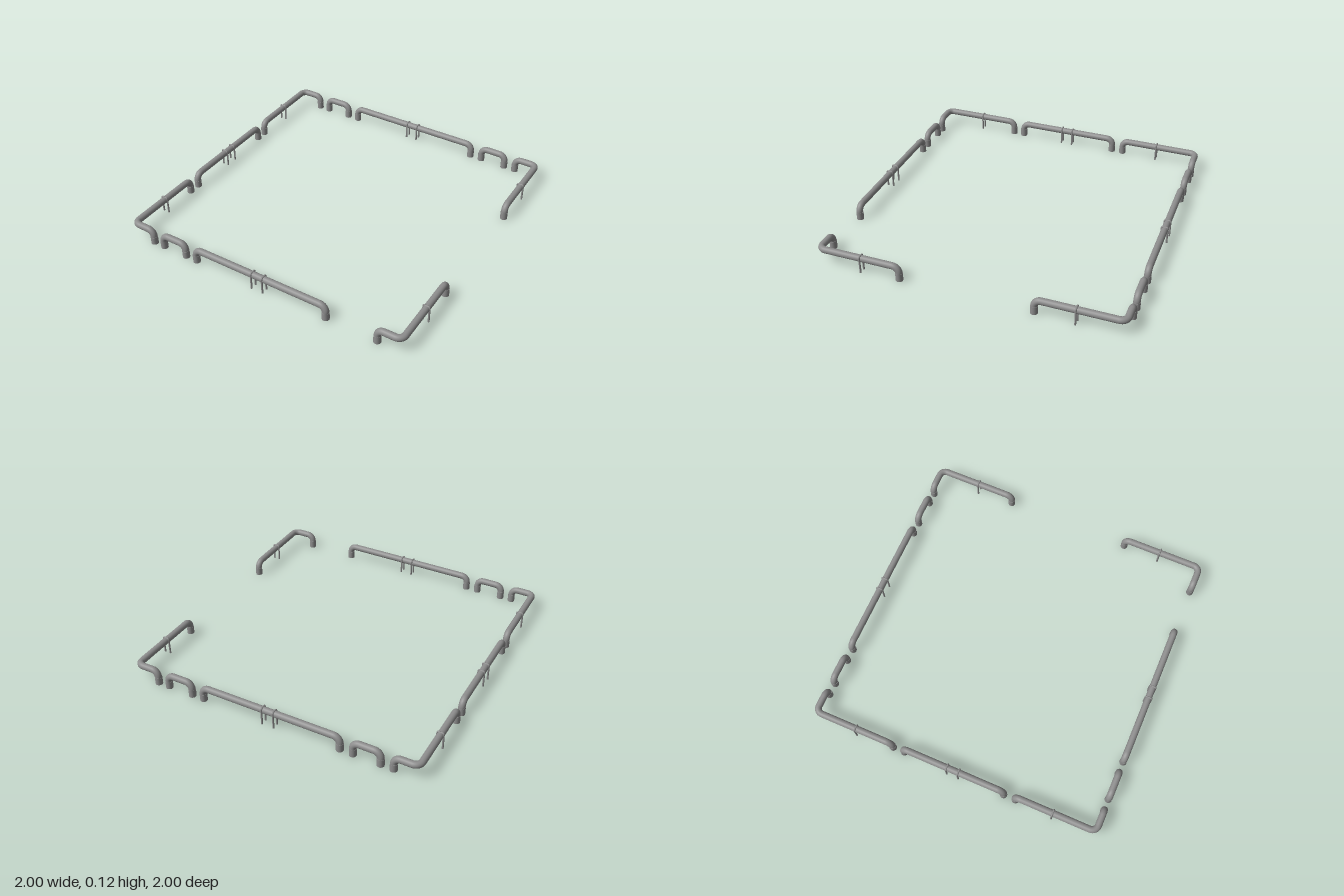
import * as THREE from 'three';

const material = new THREE.MeshStandardMaterial({ color: 0x8e8e8e });
const EDGE = 0.974;   // distance of the rail line from the middle
const HEIGHT = 0.095; // height of the pipe axis
const BEND = 0.042;   // elbow radius
const RADIUS = 0.022; // pipe radius
const V = (x, y, z) => new THREE.Vector3(x, y, z);

function addMesh(group, geometry, name) {
  const mesh = new THREE.Mesh(geometry, material);
  mesh.name = name;
  group.add(mesh);
  return mesh;
}

// Straight capped rod between two points
function addRod(group, a, b, radius, sides, name) {
  const dir = b.clone().sub(a);
  const rod = addMesh(group, new THREE.CylinderGeometry(radius, radius, dir.length(), sides), name);
  rod.position.copy(a).add(b).multiplyScalar(0.5);
  rod.quaternion.setFromUnitVectors(V(0, 1, 0), dir.normalize());
}

// Straight rods joined by quarter-circle elbows at the inner points
function addBentPipe(group, points, radius, bend, sides, name) {
  const k = 0.5523;
  let start = points[0];
  for (let i = 1; i < points.length; i++) {
    const p = points[i];
    if (i === points.length - 1) {
      addRod(group, start, p, radius, sides, name + 'Straight');
      break;
    }
    const back = points[i - 1].clone().sub(p).normalize();
    const ahead = points[i + 1].clone().sub(p).normalize();
    const at = (dir, d) => p.clone().addScaledVector(dir, d);
    const a = at(back, bend), b = at(ahead, bend);
    addRod(group, start, a, radius, sides, name + 'Straight');
    const arc = new THREE.CubicBezierCurve3(a, at(back, bend * (1 - k)), at(ahead, bend * (1 - k)), b);
    addMesh(group, new THREE.TubeGeometry(arc, 8, radius, sides), name + 'Elbow');
    start = b;
  }
}

// Rail through ground points [x, z], with a leg and foot sleeve at each end
function addRail(parent, ground, name) {
  const group = new THREE.Group();
  group.name = name;
  const first = ground[0], last = ground[ground.length - 1];
  addBentPipe(group, [
    V(first[0], 0.001, first[1]),
    ...ground.map(([x, z]) => V(x, HEIGHT, z)),
    V(last[0], 0.001, last[1]),
  ], RADIUS, BEND, 20, 'pipe');
  for (const [x, z] of [first, last])
    addRod(group, V(x, 0, z), V(x, HEIGHT - BEND, z), 0.0235, 20, 'footSleeve');
  parent.add(group);
}

// U-shaped bracket straddling a pipe, standing on the ground
function addBracket(parent, x, z, alongX) {
  const group = new THREE.Group();
  group.name = 'pipeBracket';
  const w = 0.02, top = 0.115;
  addBentPipe(group, [V(-w, 0, 0), V(-w, top, 0), V(w, top, 0), V(w, 0, 0)], 0.006, 0.008, 10, 'bracket');
  group.position.set(x, 0, z);
  if (alongX) group.rotation.y = Math.PI / 2;
  parent.add(group);
}

export function createModel() {
  const model = new THREE.Group();
  model.name = 'pipeRailEnclosure';

  // Corner rails, each with one bracket on its long arm
  for (const sx of [-1, 1]) for (const sz of [-1, 1]) {
    addRail(model, [[sx * 0.82, sz * EDGE], [sx * EDGE, sz * EDGE], [sx * EDGE, sz * 0.431]], 'cornerRail');
    addBracket(model, sx * EDGE, sz * 0.685, false);
  }

  // Long rails at front and back
  for (const sz of [-1, 1]) {
    addRail(model, [[-0.476, sz * EDGE], [0.476, sz * EDGE]], 'longRail');
    for (const x of [-0.04, 0.04]) addBracket(model, x, sz * EDGE, true);
  }

  // Middle rail on one side; the other side is an open entrance
  addRail(model, [[-EDGE, -0.35], [-EDGE, 0.35]], 'sideRail');
  for (const z of [-0.04, 0.04]) addBracket(model, -EDGE, z, false);

  // Short hoops; the front has a gap on one side
  for (const [sx, sz] of [[-1, -1], [1, -1], [-1, 1]])
    addRail(model, [[sx * 0.561, sz * EDGE], [sx * 0.738, sz * EDGE]], 'shortHoop');

  return model;
}
